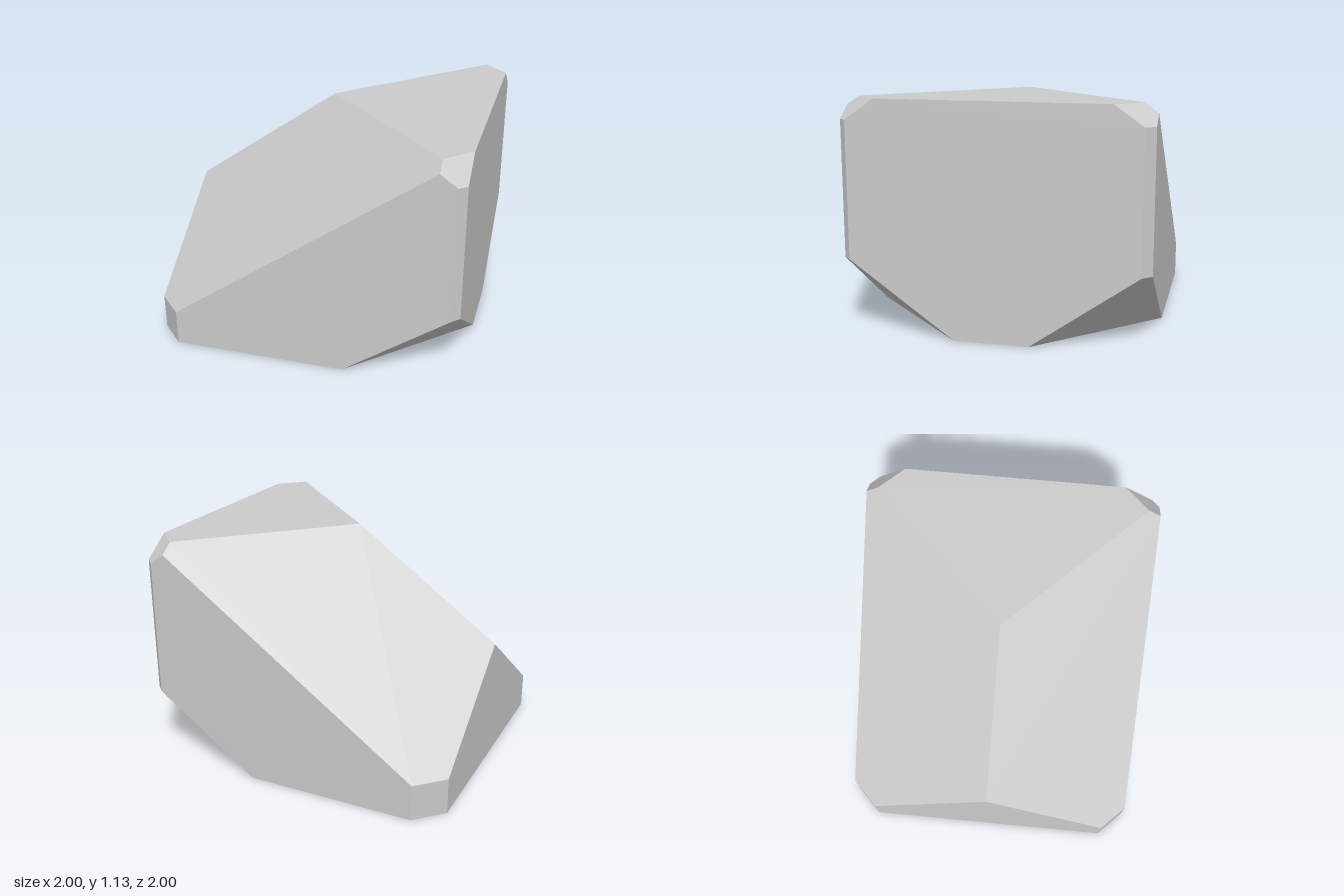
import * as THREE from 'three';
import { ConvexGeometry } from 'three/addons/geometries/ConvexGeometry.js';

// Corners of the solid bounded by planes n.p <= d
function cornersOf(planes) {
  const corners = [];
  for (let i = 0; i < planes.length; i++)
    for (let j = i + 1; j < planes.length; j++)
      for (let k = j + 1; k < planes.length; k++) {
        const [a, b, c] = [planes[i], planes[j], planes[k]];
        const m = new THREE.Matrix3().set(...a.slice(0, 3), ...b.slice(0, 3), ...c.slice(0, 3));
        if (Math.abs(m.determinant()) < 1e-6) continue;
        const p = new THREE.Vector3(a[3], b[3], c[3]).applyMatrix3(m.invert());
        const inside = planes.every(([x, y, z, d]) => x * p.x + y * p.y + z * p.z <= d + 1e-6);
        if (inside && !corners.some((q) => q.distanceTo(p) < 1e-4)) corners.push(p);
      }
  return corners;
}

export function createModel() {
  const planes = [
    // base and flat top
    [0, -1, 0, 0], [0, 1, 0, 1.13],
    // narrow upright faces at the four corners
    [1, 0, 0, 1], [-1, 0, 0, 1], [0, 0, 1, 1], [0, 0, -1, 1],
    // broad diagonal walls
    [1, 0, 1, 1.02], [1, 0, -1, 1.045], [-1, 0, 1, 1.033], [-1, 0, -1, 1.137],
    // long slopes down to the back and to the side
    [0, 1, -1, 1.18], [-1, 1, 0, 1.177],
    // small upper bevels
    [1, 1, 0, 2.033], [0, 1, 1, 2.028],
    // large lower bevels
    [1, -1, 0, 0.637], [0, -1, 1, 0.637],
  ];

  const stone = new THREE.Mesh(
    new ConvexGeometry(cornersOf(planes)),
    new THREE.MeshStandardMaterial({ color: 0xcccccc, flatShading: true })
  );
  stone.name = 'facetedBlock';

  const model = new THREE.Group();
  model.name = 'facetedStone';
  model.add(stone);
  return model;
}
